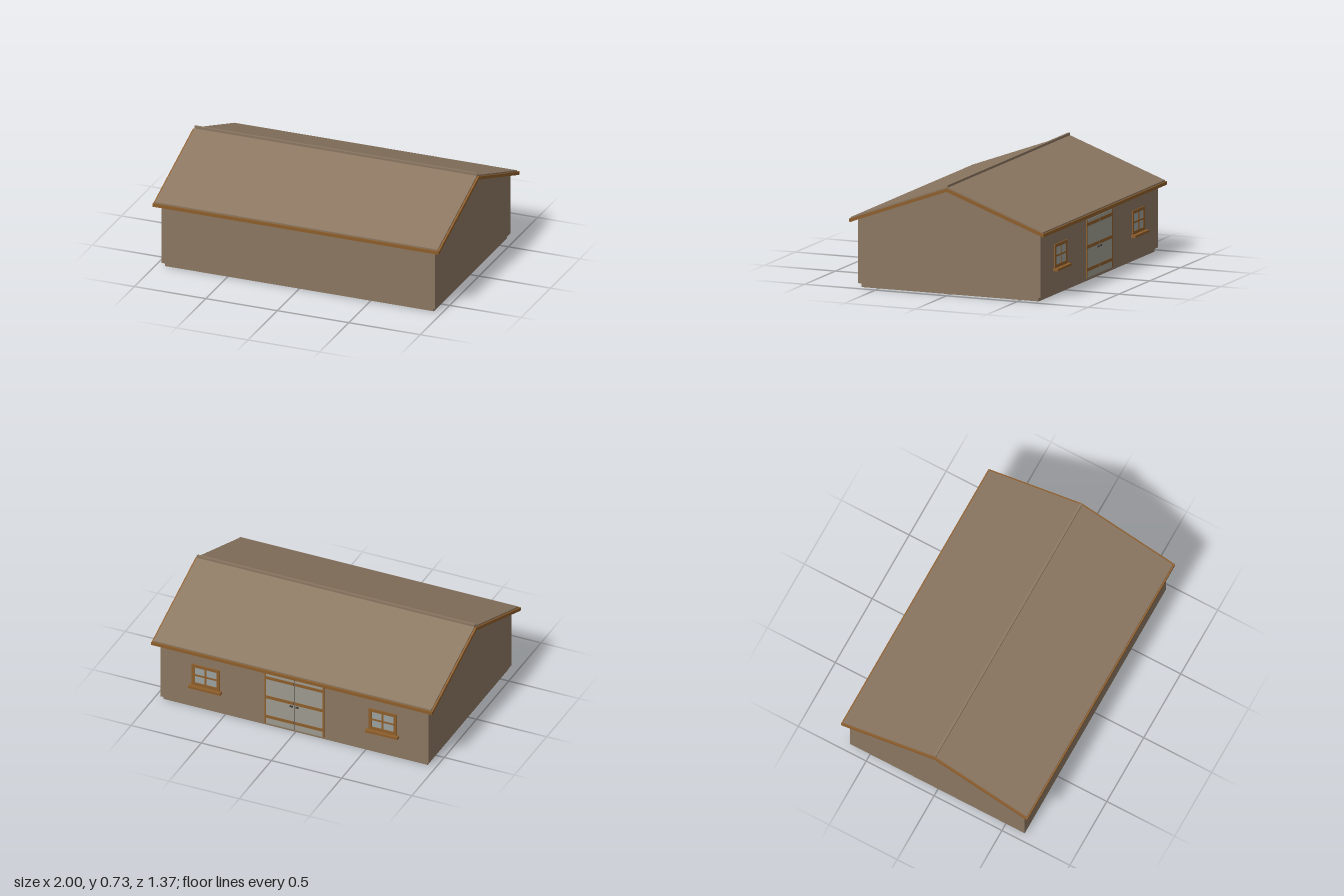
import * as THREE from 'three';

const mat = (name, color) => Object.assign(new THREE.MeshStandardMaterial({ color }), { name });

export function createModel() {
  const model = new THREE.Group();
  model.name = 'house';
  const plaster = mat('taupe plaster', 0x8a7660);
  const wood = mat('brown wood', 0x8d5d2a);
  const panel = mat('grey door panel', 0x9c9a8e);
  const glass = mat('window glass', 0x99a09e);
  const dark = mat('dark metal', 0x3a342e);

  const add = (parent, name, geometry, material, x = 0, y = 0, z = 0) => {
    const mesh = new THREE.Mesh(geometry, material);
    mesh.name = name;
    mesh.position.set(x, y, z);
    parent.add(mesh);
    return mesh;
  };
  const box = (parent, name, material, w, h, d, x, y, z) =>
    add(parent, name, new THREE.BoxGeometry(w, h, d), material, x, y, z);

  // Extrudes a (z, y) profile along x, centred on x = 0
  const alongX = (points, length) => {
    const shape = new THREE.Shape(points.map(([z, y]) => new THREE.Vector2(z, y)));
    return new THREE.ExtrudeGeometry(shape, { depth: length, bevelEnabled: false })
      .translate(0, 0, -length / 2).rotateY(-Math.PI / 2);
  };
  const slope = 0.366;
  // Bent strip following both roof slopes
  const chevron = (top, bottom, halfSpan, length) => alongX([
    [-halfSpan, bottom - slope * halfSpan], [0, bottom], [halfSpan, bottom - slope * halfSpan],
    [halfSpan, top - slope * halfSpan], [0, top], [-halfSpan, top - slope * halfSpan],
  ], length);
  const rect = (Type, x0, y0, x1, y1) => new Type([
    new THREE.Vector2(x0, y0), new THREE.Vector2(x1, y0),
    new THREE.Vector2(x1, y1), new THREE.Vector2(x0, y1),
  ]);

  // Hollow plinth with the wooden floor recessed inside it
  const ring = rect(THREE.Shape, -0.94, -0.625, 0.94, 0.625);
  ring.holes.push(rect(THREE.Path, -0.932, -0.617, 0.932, 0.617));
  add(model, 'plinth', new THREE.ExtrudeGeometry(ring, { depth: 0.027, bevelEnabled: false })
    .rotateX(-Math.PI / 2), plaster);
  box(model, 'floor', wood, 1.864, 0.006, 1.234, 0, 0.024, 0);

  // Walls with gable ends
  const eave = 0.7 - slope * 0.643;
  add(model, 'walls', alongX([
    [-0.643, 0.027], [0.643, 0.027], [0.643, eave], [0, 0.7], [-0.643, eave],
  ], 1.91), plaster);

  // Roof, ridge and timber edges
  add(model, 'roof', chevron(0.715, 0.702, 0.677, 1.976), plaster);
  box(model, 'ridgeCap', plaster, 1.976, 0.026, 0.016, 0, 0.715, 0);
  for (const s of [-1, 1]) {
    add(model, 'bargeBoard', chevron(0.706, 0.684, 0.676, 0.014), wood, s * 0.993, 0, 0);
    box(model, 'eaveFascia', wood, 2, 0.022, 0.014, 0, 0.447, s * 0.68);
  }

  // Double door on the back wall
  const door = new THREE.Group();
  door.name = 'doubleDoor';
  model.add(door);
  for (const s of [-1, 1]) {
    box(door, 'doorLeaf', panel, 0.206, 0.383, 0.004, s * 0.105, 0.2185, -0.644);
    box(door, 'doorPost', wood, 0.012, 0.383, 0.006, s * 0.206, 0.2185, -0.645);
    for (const y of [0.08, 0.23, 0.378]) {
      box(door, 'doorRail', wood, 0.196, 0.022, 0.006, s * 0.102, y, -0.645);
    }
    box(door, 'doorHandle', dark, 0.022, 0.01, 0.008, s * 0.02, 0.205, -0.647);
  }
  box(door, 'doorGap', dark, 0.004, 0.383, 0.003, 0, 0.2185, -0.643);

  // Four-pane windows with sills, either side of the door
  const frame = rect(THREE.Shape, -0.1, 0.183, 0.1, 0.34);
  for (const x of [-0.077, 0.006]) {
    for (const y of [0.204, 0.267]) {
      frame.holes.push(rect(THREE.Path, x, y, x + 0.071, y + 0.052));
    }
  }
  const frameGeometry = new THREE.ExtrudeGeometry(frame, { depth: 0.008, bevelEnabled: false });
  for (const s of [-1, 1]) {
    const win = new THREE.Group();
    win.name = 'window';
    win.position.x = s * 0.63;
    model.add(win);
    add(win, 'windowFrame', frameGeometry, wood, 0, 0, -0.65);
    box(win, 'windowGlass', glass, 0.19, 0.147, 0.004, 0, 0.2615, -0.6435);
    box(win, 'windowSill', wood, 0.23, 0.016, 0.034, 0, 0.175, -0.658);
  }
  return model;
}
